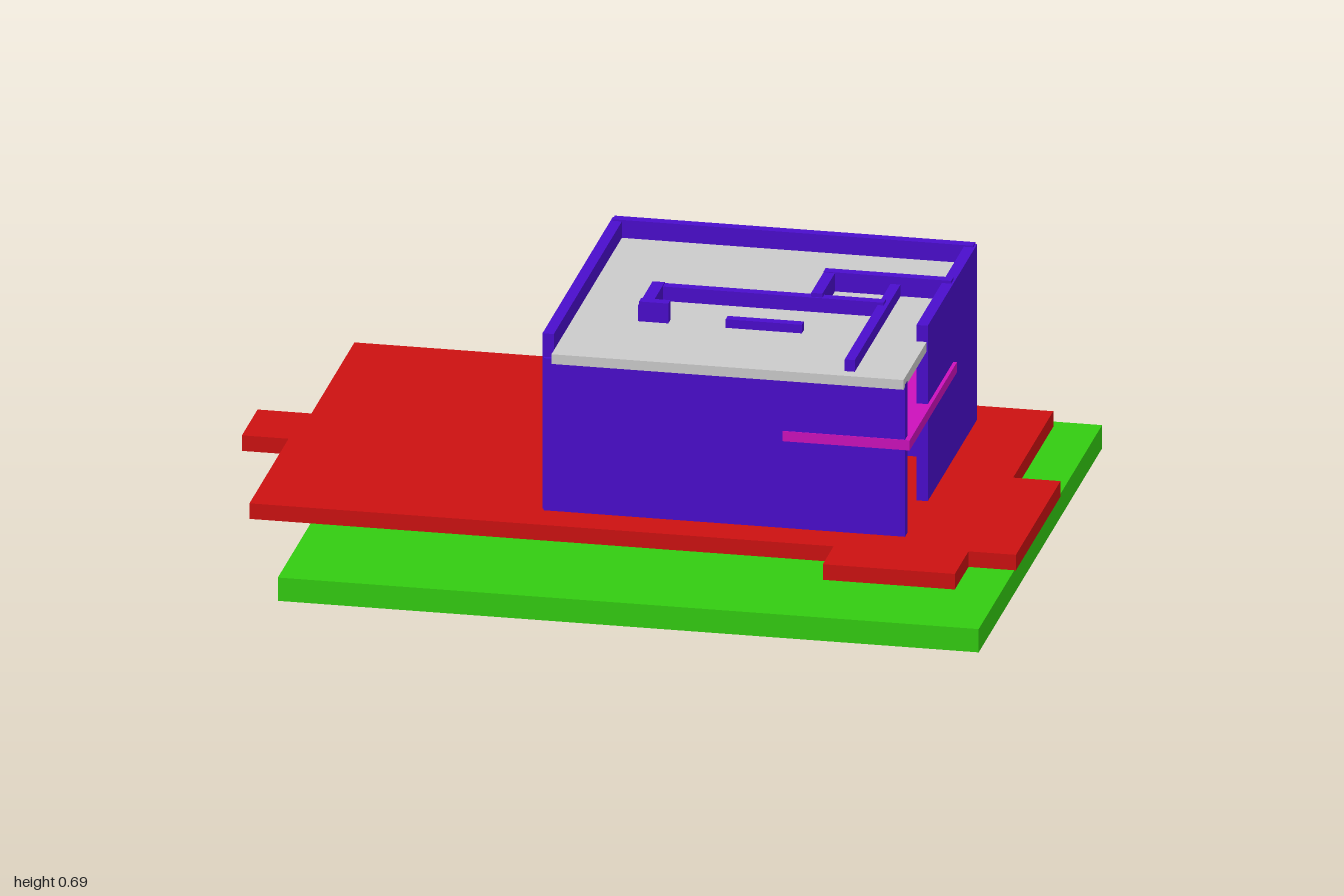
import * as THREE from 'three';

const material = (color) => new THREE.MeshStandardMaterial({ color });

export function createModel() {
  const model = new THREE.Group();
  const green = material(0x33cc11);
  const red = material(0xcc1111);
  const blue = material(0x4a0dcc);
  const magenta = material(0xcc11bb);
  const grey = material(0xcccccc);

  // Box given by its extents along each axis
  function slab(name, mat, [x0, x1], [y0, y1], [z0, z1], parent = model) {
    const mesh = new THREE.Mesh(new THREE.BoxGeometry(x1 - x0, y1 - y0, z1 - z0), mat);
    mesh.position.set((x0 + x1) / 2, (y0 + y1) / 2, (z0 + z1) / 2);
    mesh.name = name;
    parent.add(mesh);
  }

  // Ground and pedestal
  slab('groundSlab', green, [-0.805, 0.925], [0, 0.06], [-0.762, 0.682]);
  slab('pedestal', red, [-0.665, 0.788], [0.06, 0.188], [-0.315, 0.283]);

  // Stepped floor plate, outline in x and z
  const outline = [
    [-0.867, -0.508], [0.013, -0.508], [0.013, -0.523], [0.557, -0.523],
    [0.557, -0.39], [0.883, -0.39], [0.883, 0.08], [1, 0.08],
    [1, 0.602], [0.883, 0.602], [0.883, 0.762], [0.557, 0.762],
    [0.557, 0.635], [-0.885, 0.635], [-0.885, 0.178], [-1, 0.178],
    [-1, -0.005], [-0.867, -0.005],
  ];
  const shape = new THREE.Shape(outline.map(([x, z]) => new THREE.Vector2(x, -z)));
  const plate = new THREE.Mesh(
    new THREE.ExtrudeGeometry(shape, { depth: 0.04, bevelEnabled: false }), red);
  plate.rotation.x = -Math.PI / 2;
  plate.position.y = 0.188;
  plate.name = 'floorPlate';
  model.add(plate);

  // Walls: name, x extent, z extent, top height
  const walls = new THREE.Group();
  walls.name = 'walls';
  model.add(walls);
  const base = 0.225;
  [
    ['leftWall', [-0.185, -0.157], [-0.297, 0.525], 0.68],
    ['backWall', [-0.18, 0.71], [-0.298, -0.272], 0.684],
    ['rightWall', [0.687, 0.715], [-0.295, 0.282], 0.68],
    ['frontWall', [-0.18, 0.712], [0.508, 0.535], 0.62],
    ['crossWall', [0.395, 0.71], [-0.04, -0.015], 0.687],
    ['closetWall', [0.395, 0.423], [-0.045, 0.13], 0.685],
    ['middleWall', [0, 0.575], [0.11, 0.135], 0.675],
    ['innerSideWall', [0, 0.03], [0.112, 0.282], 0.678],
    ['innerReturnWall', [0.003, 0.075], [0.26, 0.285], 0.689],
    ['freestandingWall', [0.217, 0.405], [0.262, 0.286], 0.66],
    ['longPartition', [0.56, 0.585], [-0.03, 0.52], 0.668],
  ].forEach(([name, x, z, top]) => slab(name, blue, x, [base, top], z, walls));

  // Ledge through the right wall, and roof
  slab('ledge', magenta, [0.41, 0.724], [0.452, 0.478], [-0.018, 0.537]);
  slab('roof', grey, [-0.157, 0.712], [0.613, 0.638], [-0.308, 0.552]);

  return model;
}
